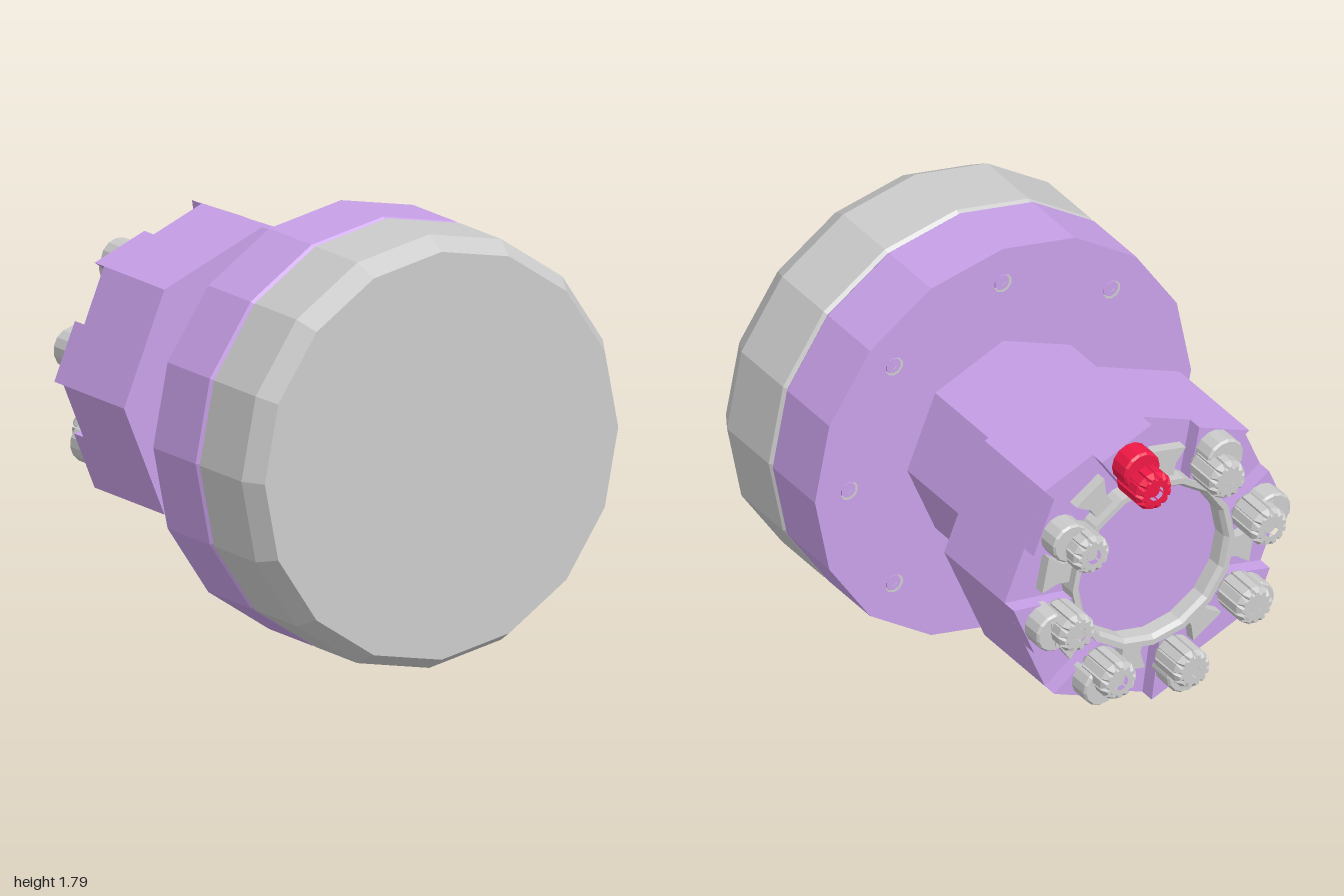
import * as THREE from 'three';

const mat = (color) => new THREE.MeshStandardMaterial({ color, flatShading: true });
const TAU = Math.PI * 2;

// Point at a clock angle (0 = up, towards +x)
const polar = (r, a) => new THREE.Vector2(r * Math.sin(a), r * Math.cos(a));
const ngon = (r, n) => Array.from({ length: n }, (_, i) => polar(r, (i / n) * TAU));

function add(parent, name, geometry, material, x = 0, y = 0, z = 0) {
  const mesh = new THREE.Mesh(geometry, material);
  mesh.name = name;
  mesh.position.set(x, y, z);
  parent.add(mesh);
  return mesh;
}

// Prism along z between z0 and z1, with optional holes
function prism(points, z0, z1, holes = []) {
  const shape = new THREE.Shape(points);
  holes.forEach((h) => shape.holes.push(new THREE.Path(h)));
  return new THREE.ExtrudeGeometry(shape, { depth: z1 - z0, bevelEnabled: false }).translate(0, 0, z0);
}

// Turned solid along z from [radius, z] pairs in rising z
function turned(profile, sides) {
  const pts = profile.map(([r, z]) => new THREE.Vector2(r, z));
  return new THREE.LatheGeometry(pts, sides).rotateX(Math.PI / 2);
}

export function createModel() {
  const model = new THREE.Group();
  const body = new THREE.Group();
  body.name = 'body';
  body.position.y = 0.895;
  model.add(body);

  const grey = mat(0xcccccc);
  const purple = mat(0xc8a0e8);
  const red = mat(0xf01846);

  // Front cap with chamfered edge
  add(body, 'frontCap', turned(
    [[0, 0.59], [0.88, 0.59], [0.893, 0.605], [0.893, 0.91], [0.84, 1], [0, 1]], 16), grey);

  // Flange with eight recessed bolts on its back face
  const bolts = Array.from({ length: 8 }, (_, i) => polar(0.73, (i / 8) * TAU));
  const holes = bolts.map((c) => ngon(0.042, 10).map((p) => p.add(c)));
  add(body, 'flange', prism(ngon(0.893, 16), 0.265, 0.575, holes), purple);
  add(body, 'flangeLip', turned([[0.893, 0.575], [0.88, 0.59]], 16), purple);
  for (const c of bolts) {
    add(body, 'flangeBolt', prism(ngon(0.034, 10), 0.27, 0.33, [ngon(0.016, 6)]), purple, c.x, c.y);
    add(body, 'boltSeat', prism(ngon(0.042, 10), 0.3, 0.32), purple, c.x, c.y);
  }

  // Octagonal neck and head
  add(body, 'neck', prism(ngon(0.455, 8), -0.315, 0.27), purple);
  add(body, 'head', prism(ngon(0.655, 8), -0.757, -0.315), purple);

  // Ring around the recess in the back of the head
  add(body, 'ring', turned(
    [[0.345, -0.757], [0.345, -0.82], [0.36, -0.84], [0.385, -0.84], [0.385, -0.757]].reverse(), 16)
    .scale(1, 1, 1), Object.assign(mat(0xcccccc), { side: THREE.DoubleSide }));

  // Rim block left standing between two notches
  const deg = Math.PI / 180;
  const rim = prism(
    [polar(0.655, 0), polar(0.605, 23 * deg), polar(0.375, 16.4 * deg), polar(0.375, 6 * deg)],
    -0.825, -0.757);

  // Flared tooth lying in each notch
  const tooth = prism([[-0.045, 0.37], [0.045, 0.37], [0.045, 0.43], [0.08, 0.5], [-0.08, 0.5], [-0.045, 0.43]]
    .map(([x, y]) => new THREE.Vector2(x, y)), -0.805, -0.757);

  // Splined knob outline with a bevelled, bored end
  const spline = [];
  for (let i = 0; i < 12; i++) {
    for (const [r, f] of [[0.058, -0.34], [0.07, -0.2], [0.07, 0.2], [0.058, 0.34]]) {
      spline.push(polar(r, ((i + f) / 12) * TAU));
    }
  }
  const knobShape = new THREE.Shape(spline);
  knobShape.holes.push(new THREE.Path(ngon(0.034, 10)));
  const knob = new THREE.ExtrudeGeometry(knobShape, {
    depth: 0.135, bevelEnabled: true, bevelSize: 0.013, bevelThickness: 0.025, bevelSegments: 1,
  }).translate(0, 0, -0.975);

  // Plain barrel, web and hollow pin
  const barrel = turned([[0, -0.92], [0.078, -0.92], [0.086, -0.91], [0.086, -0.8], [0, -0.8]], 14);
  const web = new THREE.BoxGeometry(0.12, 0.1, 0.1);
  const pin = prism(ngon(0.026, 10), -0.985, -0.82, [ngon(0.012, 6)]);
  const pinSeat = prism(ngon(0.045, 10), -0.96, -0.83);

  // Eight stations around the head, the top one coloured
  for (let i = 0; i < 8; i++) {
    const turn = (i / 8) * TAU;
    const m = i === 0 ? red : grey;

    const block = add(body, 'rimBlock', rim, purple);
    block.rotation.z = -turn;
    const t = add(body, 'ringTooth', tooth, grey);
    t.rotation.z = -(turn + 33.75 * deg);

    const lug = new THREE.Group();
    lug.name = i === 0 ? 'redLug' : 'greyLug';
    lug.rotation.z = -(turn + 11.25 * deg);
    body.add(lug);
    add(lug, 'barrel', barrel, m, 0, 0.528);
    add(lug, 'web', web, m, 0, 0.49, -0.875);
    add(lug, 'knob', knob, m, 0, 0.465);
    add(lug, 'pin', pin, m, 0, 0.465);
    add(lug, 'pinSeat', pinSeat, m, 0, 0.465);
  }

  return model;
}
